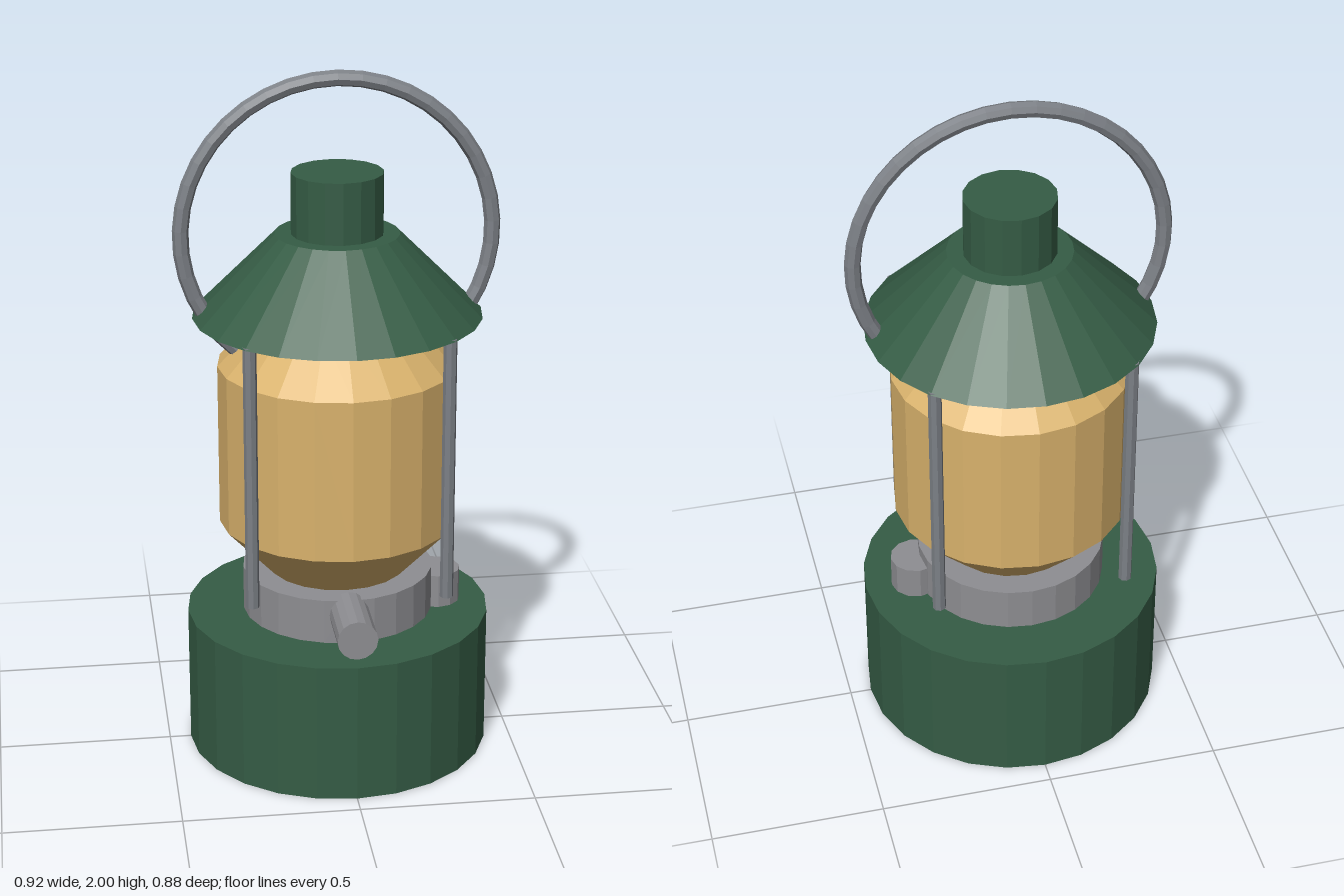
import * as THREE from 'three';

const mat = (name, color) => {
  const m = new THREE.MeshStandardMaterial({ color, flatShading: true });
  m.name = name;
  return m;
};

export function createModel() {
  const green = mat('green enamel', 0x355c45);
  const amber = mat('amber glass', 0xd9b26c);
  const grey = mat('grey metal', 0x8e8e92);
  const steel = mat('dark steel', 0x7c8086);

  const lantern = new THREE.Group();
  lantern.name = 'lantern';

  const add = (name, geometry, material, x = 0, y = 0, z = 0) => {
    const mesh = new THREE.Mesh(geometry, material);
    mesh.name = name;
    mesh.position.set(x, y, z);
    lantern.add(mesh);
    return mesh;
  };
  // Upright cylinder or cone between two heights
  const column = (name, rTop, rBottom, y0, y1, sides, material, x = 0, z = 0) =>
    add(name, new THREE.CylinderGeometry(rTop, rBottom, y1 - y0, sides), material, x, (y0 + y1) / 2, z);

  // Fuel tank and burner
  column('base', 0.438, 0.438, 0, 0.41, 24, green);
  column('burner', 0.275, 0.275, 0.41, 0.54, 24, grey);
  column('fillerCap', 0.073, 0.073, 0.41, 0.508, 12, grey, 0.288);

  // Wick knob, pointing forwards
  const knob = add('wickKnob', new THREE.CylinderGeometry(0.057, 0.057, 0.2, 16), grey, 0, 0.495, 0.34);
  knob.rotation.x = Math.PI / 2;

  // Glass globe with tapered ends
  const profile = [[0, 0.54], [0.2, 0.54], [0.341, 0.69], [0.341, 1.16], [0.2, 1.305], [0, 1.305]];
  add('globe', new THREE.LatheGeometry(profile.map(([r, y]) => new THREE.Vector2(r, y)), 20), amber);

  // Roof and chimney
  column('roof', 0.175, 0.409, 1.305, 1.54, 24, green);
  column('chimney', 0.13, 0.13, 1.54, 1.715, 16, green);

  // Guard rods
  for (const x of [-0.275, 0.275])
    for (const z of [-0.275, 0.275])
      column('guardRod', 0.019, 0.019, 0.54, 1.31, 8, steel, x, z);

  // Carrying handle: an arc open at the bottom, with capped ends
  const R = 0.437, tube = 0.023, arc = Math.PI * 1.55;
  const start = Math.PI / 2 - arc / 2;
  const handle = new THREE.Group();
  handle.name = 'handle';
  handle.position.y = 1.54;
  const ring = new THREE.Mesh(new THREE.TorusGeometry(R, tube, 8, 32, arc), steel);
  ring.name = 'handleArc';
  ring.rotation.z = start;
  handle.add(ring);
  for (const side of [-1, 1]) {
    const a = side > 0 ? start : start + arc;
    const cap = new THREE.Mesh(new THREE.CircleGeometry(tube, 8), steel);
    cap.name = 'handleEnd';
    cap.position.set(R * Math.cos(a), R * Math.sin(a), 0);
    cap.lookAt(cap.position.clone().add(new THREE.Vector3(Math.sin(a) * side, -Math.cos(a) * side, 0)));
    handle.add(cap);
  }
  lantern.add(handle);

  return lantern;
}
